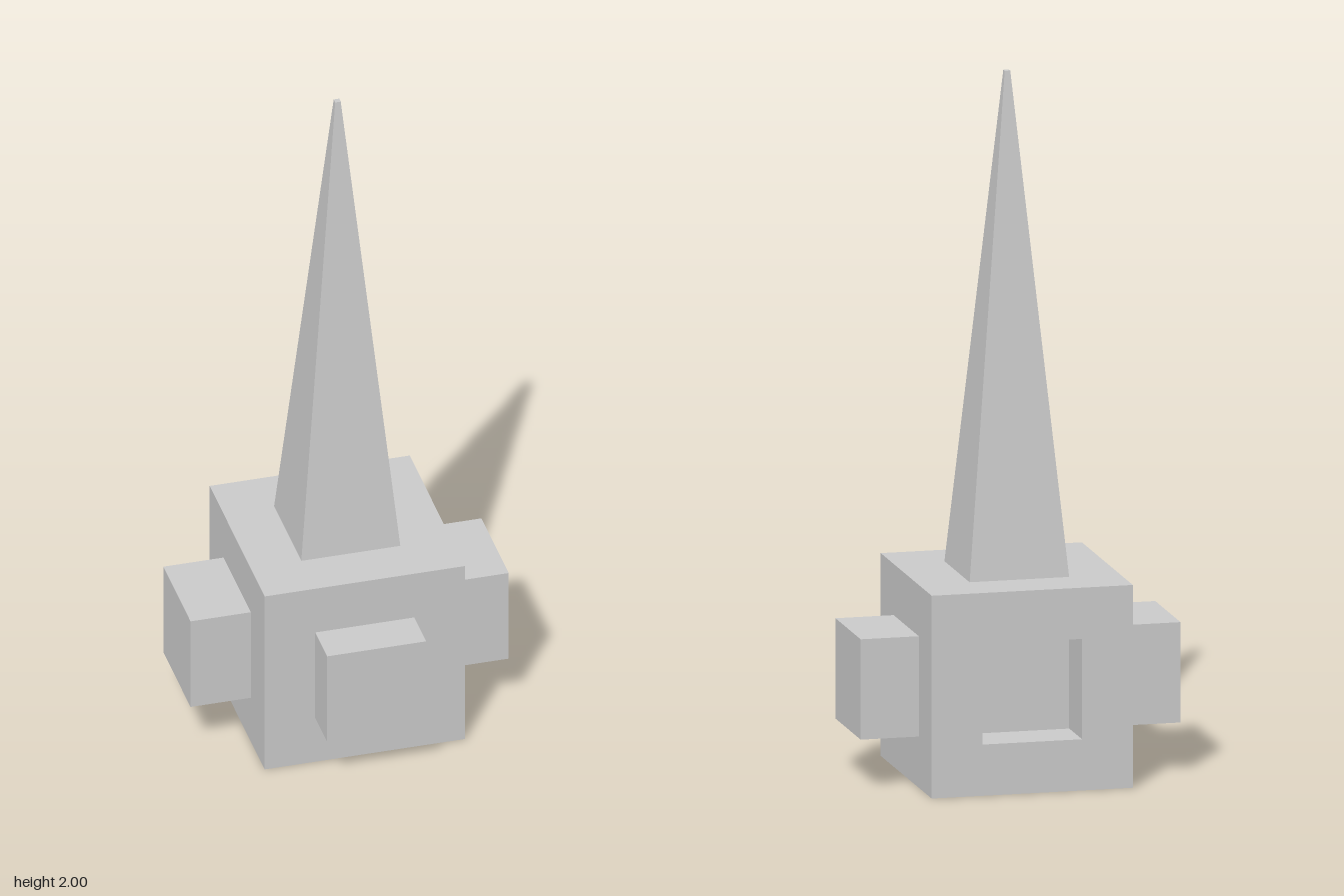
import * as THREE from 'three';

const CUBE = 0.289;   // half side of the cube
const PLUG = 0.143;   // half side of each stud, socket and the spire base
const CENTER = new THREE.Vector3(0.003, 0.289, -0.063);

// One cube side facing +z: a flat square border, then a square stud
// (depth > 0) or socket (depth < 0) ending in a flat cap of half side `end`.
function sideGeometry(depth, end) {
  const rings = [[CUBE, 0], [PLUG, 0], [end, depth]].map(([s, z]) =>
    [[-s, -s, z], [s, -s, z], [s, s, z], [-s, s, z]]);
  const positions = [];
  const quad = (a, b, c, d) => positions.push(...a, ...b, ...c, ...a, ...c, ...d);
  for (let r = 0; r < 2; r++) {
    for (let i = 0; i < 4; i++) {
      const j = (i + 1) % 4;
      quad(rings[r][i], rings[r][j], rings[r + 1][j], rings[r + 1][i]);
    }
  }
  quad(...rings[2]);
  const geometry = new THREE.BufferGeometry();
  geometry.setAttribute('position', new THREE.Float32BufferAttribute(positions, 3));
  geometry.computeVertexNormals();
  return geometry;
}

export function createModel() {
  const model = new THREE.Group();
  model.name = 'spiredCube';
  const material = new THREE.MeshStandardMaterial({ color: 0xcccccc, flatShading: true });
  const q = Math.PI / 2;

  // name, rotation about x, rotation about y, depth, half side of the end cap
  const sides = [
    ['frontStud', 0, 0, 0.125, PLUG],
    ['leftStud', 0, q, 0.167, PLUG],
    ['rightStud', 0, -q, 0.174, PLUG],
    ['backSocket', 0, 2 * q, -0.145, PLUG],
    ['bottomSocket', q, 0, -0.145, PLUG],
    ['topSpire', -q, 0, 2 - 2 * CUBE, 0.008],
  ];
  for (const [name, rx, ry, depth, end] of sides) {
    const side = new THREE.Mesh(sideGeometry(depth, end), material);
    side.name = name;
    side.rotation.set(rx, ry, 0);
    // Push the side out from the cube centre along its own normal
    side.position.copy(CENTER);
    side.translateZ(CUBE);
    model.add(side);
  }
  return model;
}
